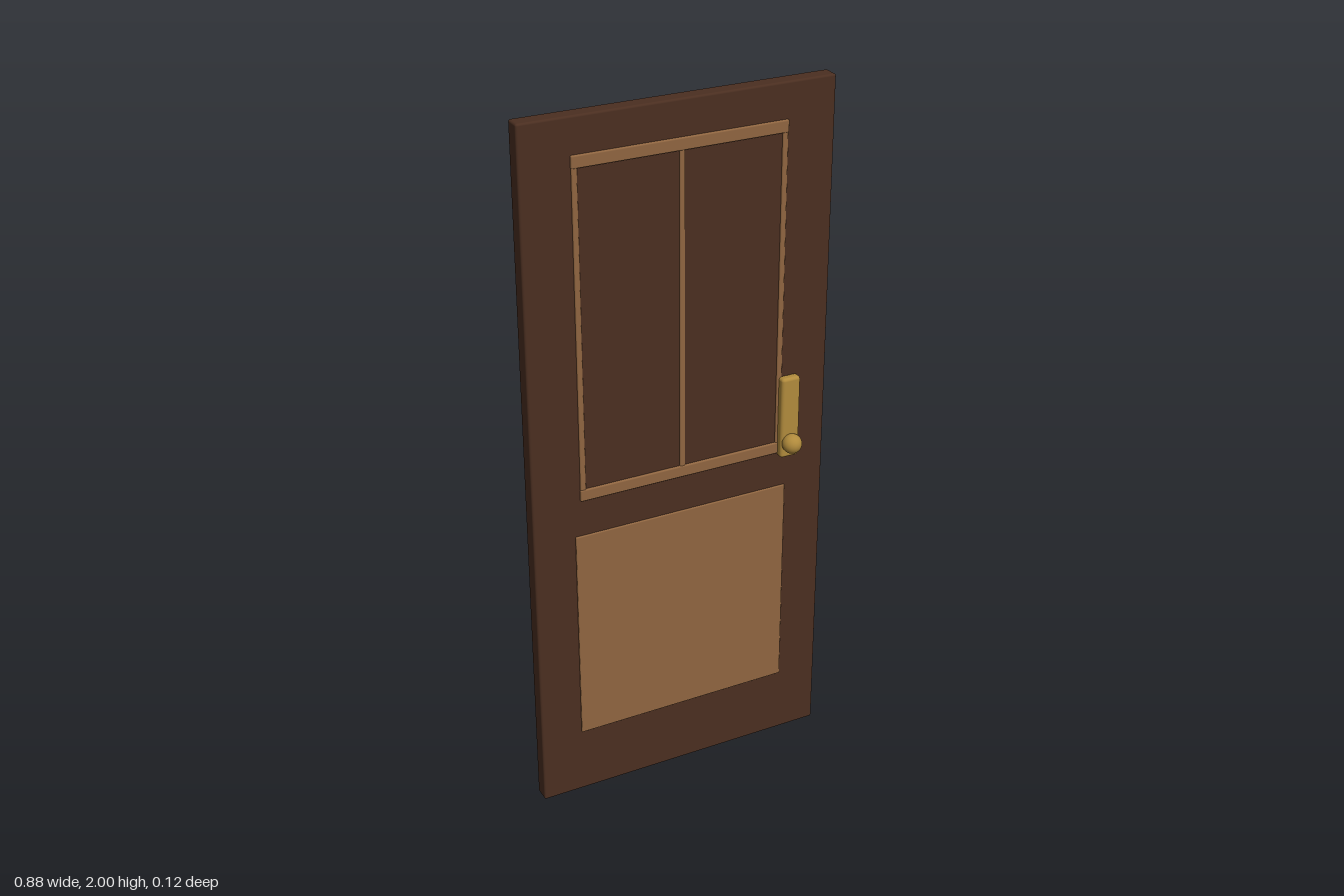
import * as THREE from 'three';
import { RoundedBoxGeometry } from 'three/addons/geometries/RoundedBoxGeometry.js';

const darkWood = new THREE.MeshStandardMaterial({ color: 0x4a2e20 });
const lightWood = new THREE.MeshStandardMaterial({ color: 0x8f6540 });
const brass = new THREE.MeshStandardMaterial({ color: 0xb08a3c });

const MID_Z = -0.03; // middle of the door's thickness

// Softly rounded block given by its x, y and z limits
function block(name, [x0, x1], [y0, y1], [z0, z1], radius, material) {
  const geometry = new RoundedBoxGeometry(x1 - x0, y1 - y0, z1 - z0, 3, radius);
  const mesh = new THREE.Mesh(geometry, material);
  mesh.name = name;
  mesh.position.set((x0 + x1) / 2, (y0 + y1) / 2, (z0 + z1) / 2);
  return mesh;
}

export function createModel() {
  const door = new THREE.Group();
  door.name = 'door';

  // Slab
  door.add(block('slab', [-0.44, 0.44], [0, 2], [MID_Z - 0.024, MID_Z + 0.024], 0.006, darkWood));

  // Lower panel, standing proud on both faces
  door.add(block('lowerPanel', [-0.32, 0.32], [0.2, 0.84], [MID_Z - 0.029, MID_Z + 0.029], 0.003, lightWood));

  // Upper frame: rails, stiles and mullion pass through the slab to both faces
  const frame = new THREE.Group();
  frame.name = 'upperFrame';
  const railZ = [MID_Z - 0.03, MID_Z + 0.03];
  const barZ = [MID_Z - 0.028, MID_Z + 0.028];
  frame.add(block('topRail', [-0.303, 0.303], [1.868, 1.902], railZ, 0.004, lightWood));
  frame.add(block('bottomRail', [-0.303, 0.303], [0.946, 0.98], railZ, 0.004, lightWood));
  for (const [name, x] of [['rightStile', -0.294], ['mullion', 0], ['leftStile', 0.294]]) {
    frame.add(block(name, [x - 0.008, x + 0.008], [0.96, 1.885], barZ, 0.004, lightWood));
  }
  door.add(frame);

  // Handle: backplate and round knob on the front
  const handle = new THREE.Group();
  handle.name = 'handle';
  handle.add(block('backplate', [0.292, 0.349], [0.938, 1.18], [-0.008, 0.02], 0.009, brass));
  const knob = new THREE.Mesh(new THREE.SphereGeometry(0.028, 32, 20), brass);
  knob.name = 'knob';
  knob.position.set(0.32, 0.985, 0.031);
  handle.add(knob);
  door.add(handle);

  return door;
}
